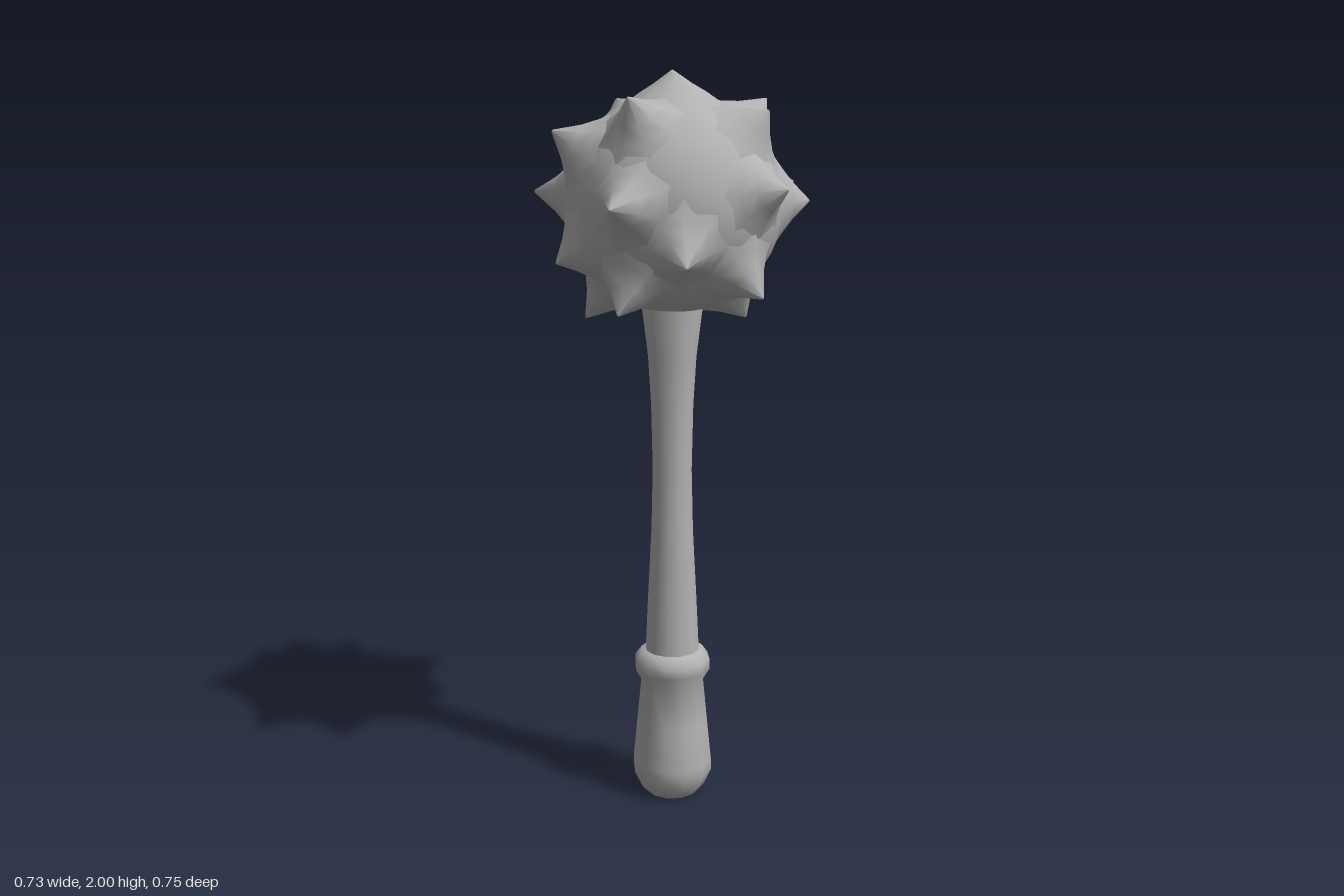
import * as THREE from 'three';
import { toCreasedNormals } from 'three/addons/utils/BufferGeometryUtils.js';

const CENTRE = new THREE.Vector3(0, 1.665, 0);
const BALL_RADIUS = 0.285;

// Spike tip positions on the ball
const TIPS = [
  [0.01, 2.0, 0.02], [-0.23, 1.93, -0.03], [0.13, 1.93, -0.22], [0.265, 1.9, -0.05],
  [0.06, 1.93, 0.245], [-0.18, 1.85, 0.265], [-0.315, 1.81, -0.16],
  [0.365, 1.71, 0], [0.115, 1.67, 0.375], [-0.345, 1.69, 0.17], [-0.285, 1.64, -0.265],
  [0.11, 1.71, -0.375], [0.26, 1.67, -0.24],
  [-0.365, 1.53, 0.01], [0, 1.54, -0.375], [0.25, 1.53, 0.25], [-0.15, 1.52, 0.29],
  [0.3, 1.44, 0.01], [0.04, 1.4, 0.265], [-0.2, 1.36, 0.13],
  [0.12, 1.36, -0.155], [-0.2, 1.43, -0.23],
];

const lathe = (points, sides) =>
  new THREE.LatheGeometry(points.map(([r, y]) => new THREE.Vector2(r, y)), sides);

export function createModel() {
  const group = new THREE.Group();
  const metal = new THREE.MeshStandardMaterial({ color: 0xb2b2b2 });
  metal.name = 'grey metal';

  const add = (name, geometry, parent = group) => {
    const mesh = new THREE.Mesh(geometry, metal);
    mesh.name = name;
    parent.add(mesh);
    return mesh;
  };

  // Grip with a rounded pommel and a collar
  const grip = add('grip', toCreasedNormals(lathe([
    [0, 0.005], [0.075, 0.005], [0.092, 0.025], [0.112, 0.07], [0.112, 0.1], [0.1, 0.22],
    [0.088, 0.345], [0.106, 0.375], [0.106, 0.405], [0.088, 0.43], [0.05, 0.435],
  ], 12), 0.9));
  grip.position.x = -0.008;

  // Waisted shaft that flares under the ball
  const shaft = add('shaft', lathe([
    [0.076, 0.42], [0.07, 0.55], [0.058, 0.78], [0.054, 0.95], [0.058, 1.13],
    [0.066, 1.26], [0.082, 1.39], [0.08, 1.45],
  ], 12));
  shaft.position.x = -0.008;

  // Spiked head
  const head = new THREE.Group();
  head.name = 'head';
  head.position.copy(CENTRE);
  group.add(head);
  add('ball', new THREE.SphereGeometry(BALL_RADIUS, 28, 20), head);

  // Each spike flares into the ball surface
  const up = new THREE.Vector3(0, 1, 0);
  for (const tip of TIPS) {
    const direction = new THREE.Vector3(...tip).sub(CENTRE);
    const length = direction.length();
    const rise = length - BALL_RADIUS;
    const spike = add('spike', lathe([
      [0.125, BALL_RADIUS - 0.032], [0.085, BALL_RADIUS - 0.004],
      [0.05, BALL_RADIUS + rise * 0.33], [0.004, length - 0.002], [0, length],
    ], 8), head);
    spike.quaternion.setFromUnitVectors(up, direction.normalize());
  }
  return group;
}
